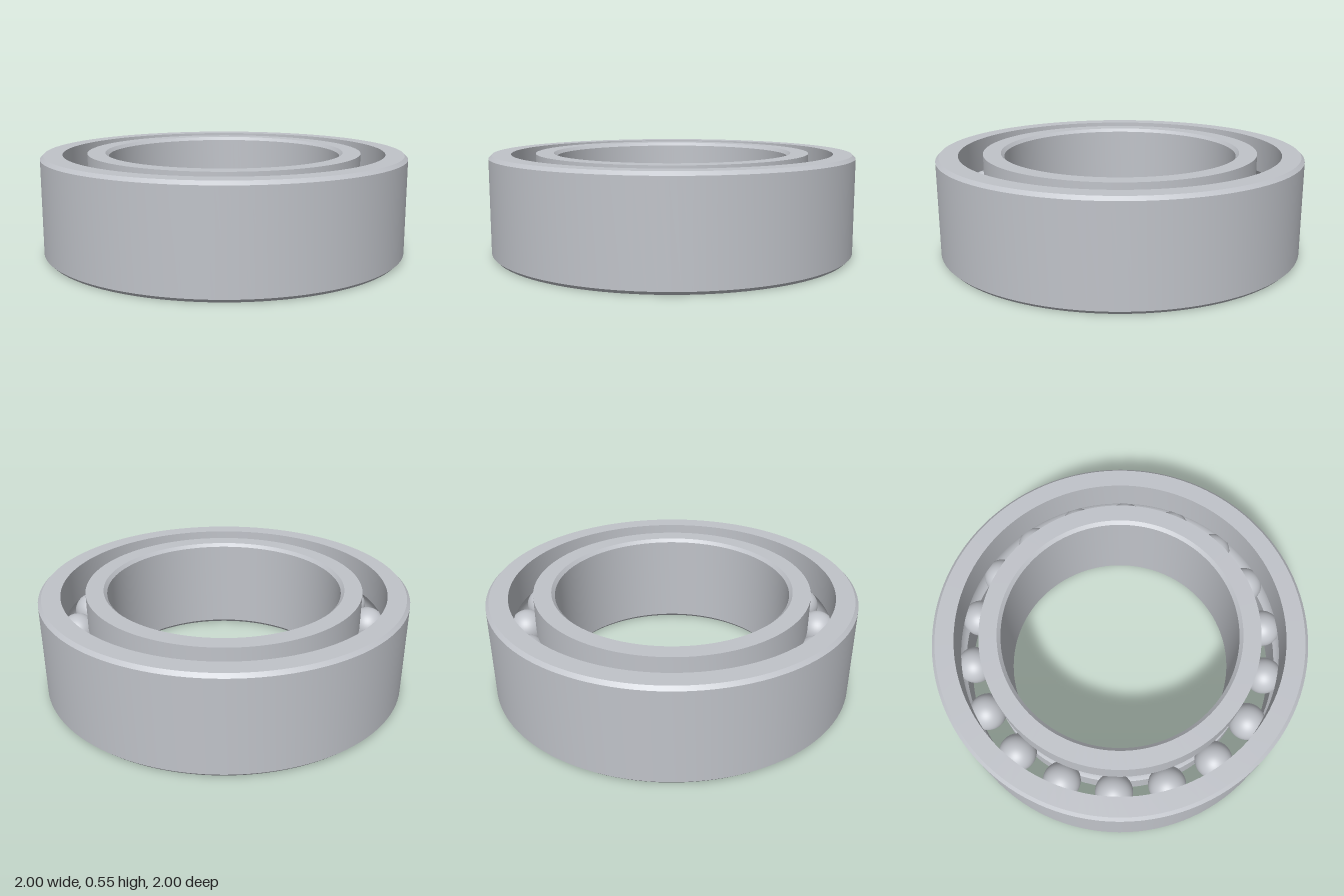
import * as THREE from 'three';
import { toCreasedNormals } from 'three/addons/utils/BufferGeometryUtils.js';

const HEIGHT = 0.545, MID = HEIGHT / 2, CHAMFER = 0.018;
const OUTER = 1, OUTER_RACE = 0.882, INNER_RACE = 0.751, BORE = 0.637;
const PITCH = (OUTER_RACE + INNER_RACE) / 2;
const BALL_RADIUS = 0.101, BALL_COUNT = 18;

export function createModel() {
  const model = new THREE.Group();
  model.name = 'ballBearing';
  const steel = new THREE.MeshStandardMaterial({ color: 0xc0c3c9 });
  steel.name = 'steel';

  // Round groove in a race wall; side is +1 for the outer ring, -1 for the inner
  function groove(side) {
    const half = Math.acos((OUTER_RACE - PITCH) / BALL_RADIUS);
    const points = [];
    for (let i = 0; i <= 12; i++) {
      const a = half - (i / 12) * 2 * half;
      points.push([PITCH + side * BALL_RADIUS * Math.cos(a), MID + side * BALL_RADIUS * Math.sin(a)]);
    }
    return points;
  }

  // Revolved ring with crisp chamfers; the closed profile runs counter-clockwise
  function addRing(name, profile) {
    const points = [...profile, profile[0]].map(([r, y]) => new THREE.Vector2(r, y));
    const geometry = toCreasedNormals(new THREE.LatheGeometry(points, 120), 0.4);
    const ring = new THREE.Mesh(geometry, steel);
    ring.name = name;
    model.add(ring);
  }

  addRing('outerRing', [
    [OUTER - CHAMFER, 0], [OUTER, CHAMFER],
    [OUTER, HEIGHT - CHAMFER], [OUTER - CHAMFER, HEIGHT],
    [OUTER_RACE, HEIGHT], ...groove(1), [OUTER_RACE, 0],
  ]);

  addRing('innerRing', [
    [INNER_RACE, 0], ...groove(-1), [INNER_RACE, HEIGHT],
    [BORE + CHAMFER, HEIGHT], [BORE, HEIGHT - CHAMFER],
    [BORE, CHAMFER], [BORE + CHAMFER, 0],
  ]);

  // Balls evenly spaced between the races
  const balls = new THREE.Group();
  balls.name = 'balls';
  const ballGeometry = new THREE.SphereGeometry(BALL_RADIUS, 40, 24);
  for (let i = 0; i < BALL_COUNT; i++) {
    const a = (i / BALL_COUNT) * Math.PI * 2;
    const ball = new THREE.Mesh(ballGeometry, steel);
    ball.name = 'ball';
    ball.position.set(PITCH * Math.cos(a), MID, PITCH * Math.sin(a));
    balls.add(ball);
  }
  model.add(balls);
  return model;
}
